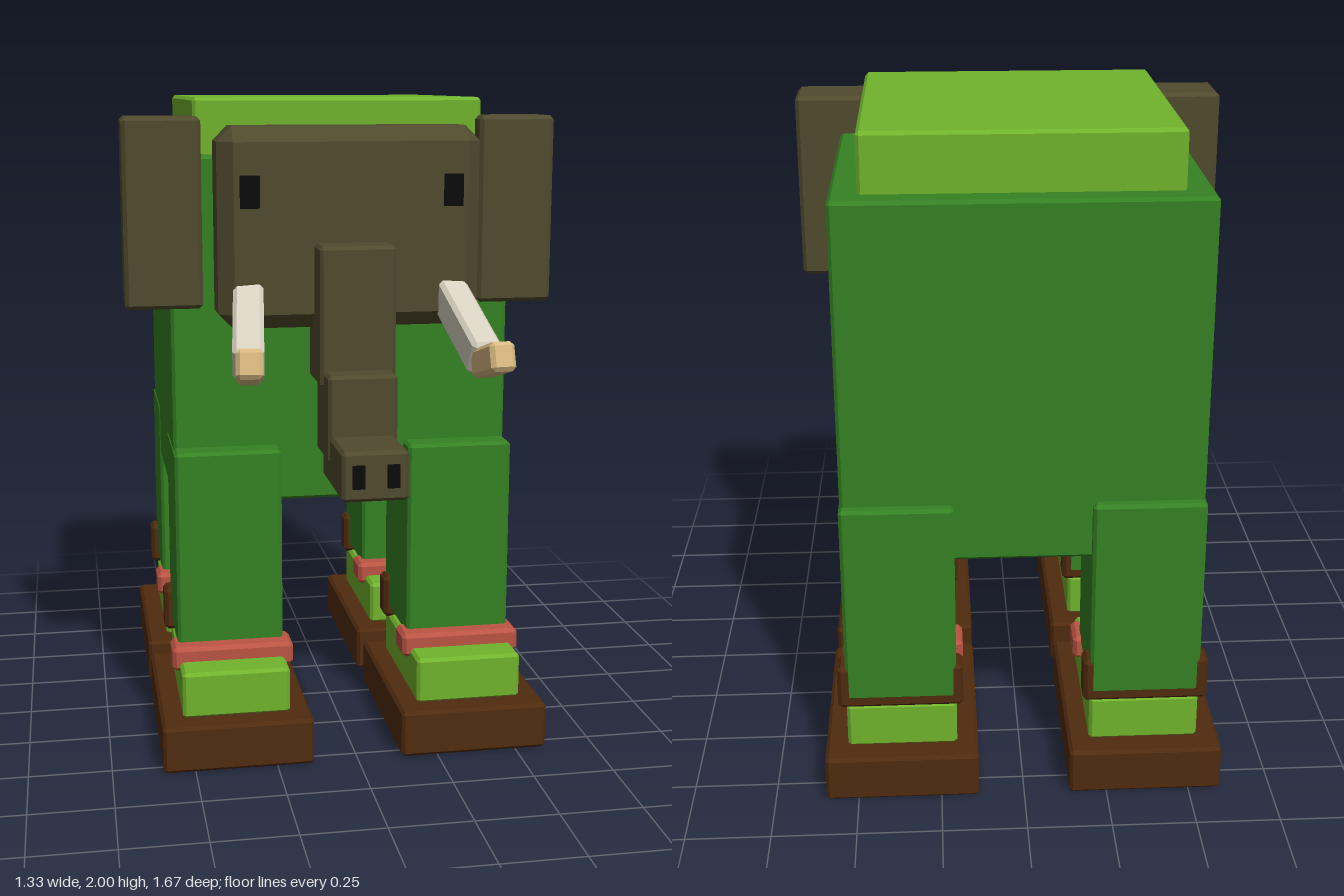
import * as THREE from 'three';
import { ConvexGeometry } from 'three/addons/geometries/ConvexGeometry.js';

const flat = (name, color) => {
  const m = new THREE.MeshStandardMaterial({ color });
  m.name = name;
  return m;
};

// Box centred on the origin with all edges chamfered by c
function chamferBox(w, h, d, c) {
  const pts = [];
  for (const x of [-1, 1]) for (const y of [-1, 1]) for (const z of [-1, 1]) {
    for (let axis = 0; axis < 3; axis++) {
      const inset = [c, c, c];
      inset[axis] = 0;
      pts.push(new THREE.Vector3(x * (w / 2 - inset[0]), y * (h / 2 - inset[1]), z * (d / 2 - inset[2])));
    }
  }
  return new ConvexGeometry(pts);
}

export function createModel() {
  const green = flat('bodyGreen', 0x358223);
  const lime = flat('limeGreen', 0x71b42d);
  const olive = flat('oliveBrown', 0x504a2d);
  const brown = flat('soleBrown', 0x502b0e);
  const pink = flat('strapPink', 0xbb5443);
  const ivory = flat('ivory', 0xd6d0c0);
  const tan = flat('tuskTan', 0xd9b980);
  const black = flat('black', 0x0b0b0b);

  const root = new THREE.Group();
  root.name = 'blockElephant';

  // Box given by its limits on each axis
  function block(name, mat, [x0, x1], [y0, y1], [z0, z1], c = 0.01, parent = root) {
    const mesh = new THREE.Mesh(chamferBox(x1 - x0, y1 - y0, z1 - z0, c), mat);
    mesh.position.set((x0 + x1) / 2, (y0 + y1) / 2, (z0 + z1) / 2);
    mesh.name = name;
    parent.add(mesh);
  }
  // Same, mirrored to side s (+1 left, -1 right)
  const side = (s, x0, x1) => (s > 0 ? [x0, x1] : [-x1, -x0]);

  // Bar running from point a to point b
  function bar(name, mat, a, b, w, h, c) {
    const from = new THREE.Vector3(...a), to = new THREE.Vector3(...b);
    const mesh = new THREE.Mesh(chamferBox(w, h, from.distanceTo(to), c), mat);
    mesh.position.copy(from).lerp(to, 0.5);
    mesh.lookAt(to);
    mesh.name = name;
    root.add(mesh);
  }

  // Body and back pad
  block('body', green, [-0.527, 0.527], [0.755, 1.83], [-0.745, 0.24]);
  block('backPad', lime, [-0.447, 0.447], [1.8, 2.0], [-0.67, 0.19]);

  // Head and trunk
  block('head', olive, [-0.395, 0.395], [1.325, 1.92], [0.21, 0.418], 0.045);
  block('trunkUpper', olive, [-0.113, 0.113], [1.165, 1.58], [0.32, 0.525]);
  block('trunkMiddle', olive, [-0.103, 0.103], [0.955, 1.215], [0.395, 0.605]);
  block('trunkTip', olive, [-0.097, 0.097], [0.89, 1.035], [0.47, 0.797]);

  for (const s of [1, -1]) {
    // Ears, eyes and nostrils
    block('ear', olive, side(s, 0.428, 0.664), [1.37, 1.945], [0.073, 0.256], 0.012);
    block('eye', black, side(s, 0.275, 0.333), [1.685, 1.78], [0.425, 0.434], 0.001);
    block('nostril', black, side(s, 0.032, 0.068), [0.93, 0.998], [0.799, 0.807], 0.001);

    // Tusks
    bar('tusk', ivory, [s * 0.303, 1.43, 0.36], [s * 0.342, 1.265, 0.675], 0.09, 0.108, 0.012);
    bar('tuskTip', tan, [s * 0.338, 1.25, 0.66], [s * 0.356, 1.3, 0.822], 0.075, 0.085, 0.012);

    // Front and hind legs with shoes
    for (const [name, dz] of [['frontLeg', 0], ['hindLeg', -0.752]]) {
      const leg = new THREE.Group();
      leg.name = name;
      leg.position.z = dz;
      root.add(leg);
      const add = (part, mat, x, y, z, c) => block(part, mat, side(s, ...x), y, z, c, leg);
      add('shin', green, [0.2, 0.53], [0.308, 0.935], [-0.024, 0.32]);
      add('shoe', lime, [0.2, 0.53], [0.14, 0.285], [-0.015, 0.477]);
      add('sole', brown, [0.137, 0.597], [0, 0.145], [-0.088, 0.555]);
      add('frontStrap', pink, [0.175, 0.552], [0.255, 0.33], [0.26, 0.375], 0.012);
      add('heelStrap', brown, [0.18, 0.555], [0.28, 0.42], [-0.023, 0.06], 0.012);
    }
  }
  return root;
}
